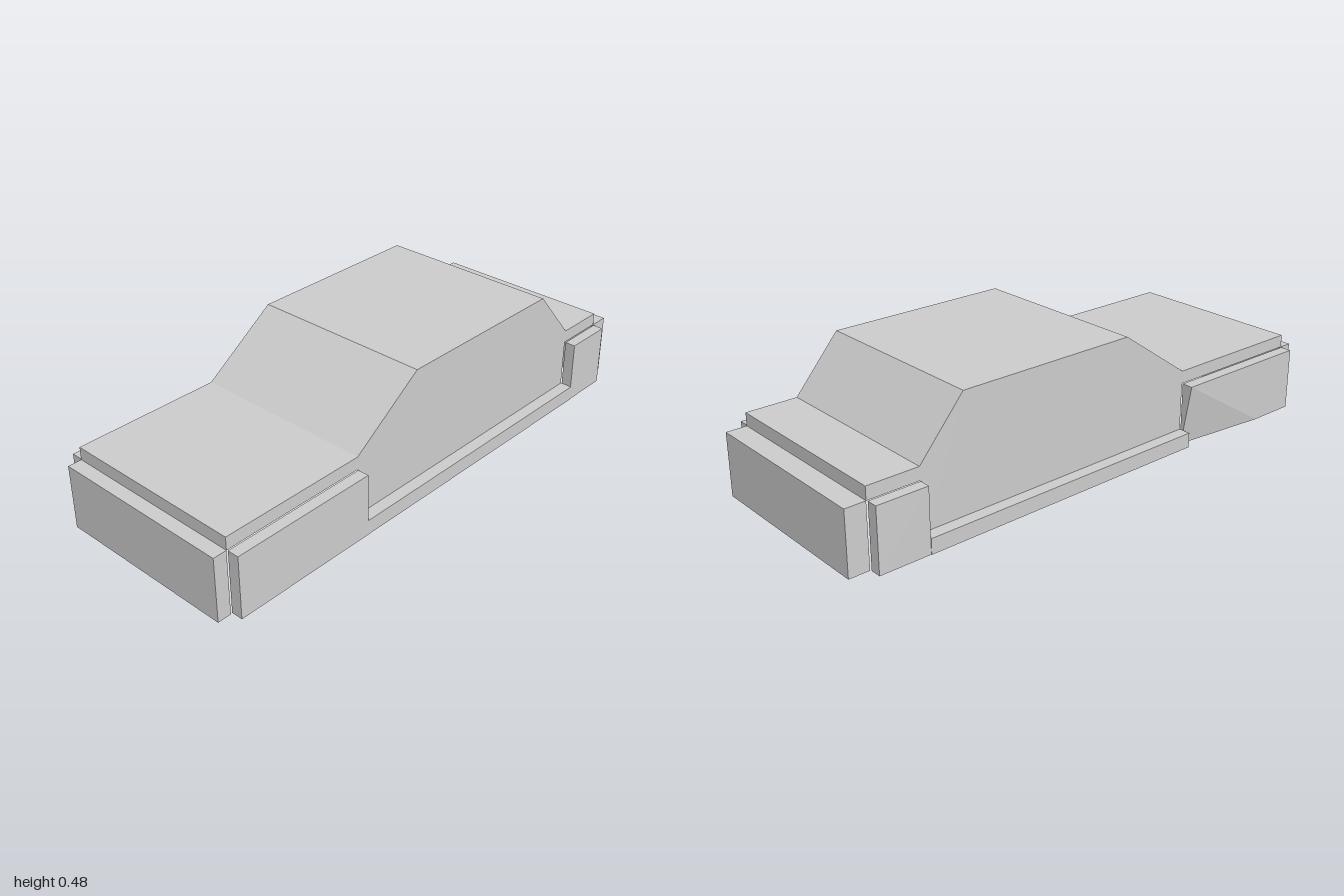
import * as THREE from 'three';

export function createModel() {
  const car = new THREE.Group();
  car.name = 'car';
  const mat = new THREE.MeshStandardMaterial({ color: 0xcccccc, flatShading: true, side: THREE.DoubleSide });

  const add = (name, geo) => {
    const mesh = new THREE.Mesh(geo, mat);
    mesh.name = name;
    car.add(mesh);
    return mesh;
  };
  // Box given by its limits on each axis
  const block = (name, [x0, x1], [y0, y1], [z0, z1]) => {
    const geo = new THREE.BoxGeometry(x1 - x0, y1 - y0, z1 - z0);
    geo.translate((x0 + x1) / 2, (y0 + y1) / 2, (z0 + z1) / 2);
    return add(name, geo);
  };

  const W = 0.342; // half width of the body

  // Bonnet, boot lid and bumpers
  block('bonnet', [-W, W], [0.24, 0.287], [0.4, 0.95]);
  block('bootLid', [-W, W], [0.24, 0.287], [-0.925, -0.735]);
  block('frontBumper', [-W, W], [0.003, 0.24], [0.95, 1]);
  block('rearBumper', [-W, W], [0.01, 0.24], [-1, -0.925]);

  // Cabin shell, open underneath: windscreen, roof and rear window
  const line = [[0.4, 0.287], [0.12, 0.482], [-0.567, 0.482], [-0.735, 0.287]];
  ['windscreen', 'roof', 'rearWindow'].forEach((name, i) => {
    const [[z0, y0], [z1, y1]] = [line[i], line[i + 1]];
    const geo = new THREE.BufferGeometry();
    geo.setAttribute('position', new THREE.Float32BufferAttribute(
      [-W, y0, z0, W, y0, z0, W, y1, z1, -W, y1, z1], 3));
    geo.setIndex([0, 1, 2, 0, 2, 3]);
    geo.computeVertexNormals();
    add(name, geo);
  });

  // Cabin sides, following the same outline down to the sill
  const outline = new THREE.Shape(
    [[0.4, 0.01], ...line, [-0.735, 0.01]].map(([z, y]) => new THREE.Vector2(-z, y)));
  for (const s of [-1, 1]) {
    const side = s > 0 ? 'left' : 'right';
    const geo = new THREE.ShapeGeometry(outline);
    geo.rotateY(Math.PI / 2);
    geo.translate(s * W, 0, 0);
    // the outer side of the right wall needs the opposite winding
    if (s < 0) {
      geo.index.array.reverse();
      geo.computeVertexNormals();
    }
    add(side + 'CabinSide', geo);

    // Wings and sill along the side
    const span = (a, b) => (s > 0 ? [a, b] : [-b, -a]);
    block(side + 'Sill', span(W + 0.001, 0.388), [0.01, 0.065], [-0.735, 0.4]);
    block(side + 'RearWing', span(0.346, 0.386), [0.01, 0.24], [-0.922, -0.735]);
    const wing = block(side + 'FrontWing', span(0.346, 0.388), [0.01, 0.24], [0.4, 0.948]);

    // The right front wing is cut in at its lower rear corner
    if (s < 0) {
      const x0 = -0.388, x1 = -0.35;
      const cut = new THREE.BufferGeometry();
      cut.setAttribute('position', new THREE.Float32BufferAttribute([
        x0, 0.01, 0.948, x0, 0.24, 0.948, x0, 0.24, 0.4, x0, 0.01, 0.77, x1, 0.01, 0.4, // outer
        -0.346, 0.01, 0.948, -0.346, 0.24, 0.948, -0.346, 0.24, 0.4, -0.346, 0.01, 0.4, // inner
      ], 3));
      cut.setIndex([
        0, 1, 2, 0, 2, 3, 3, 2, 4, // outer face and cut
        5, 7, 6, 5, 8, 7, // inner face
        1, 6, 7, 1, 7, 2, // top
        0, 5, 6, 0, 6, 1, // front
        2, 7, 8, 2, 8, 4, // rear
        0, 3, 5, 3, 8, 5, 3, 4, 8, // bottom
      ]);
      const flat = cut.toNonIndexed();
      flat.computeVertexNormals();
      wing.geometry = flat;
    }
  }
  return car;
}
